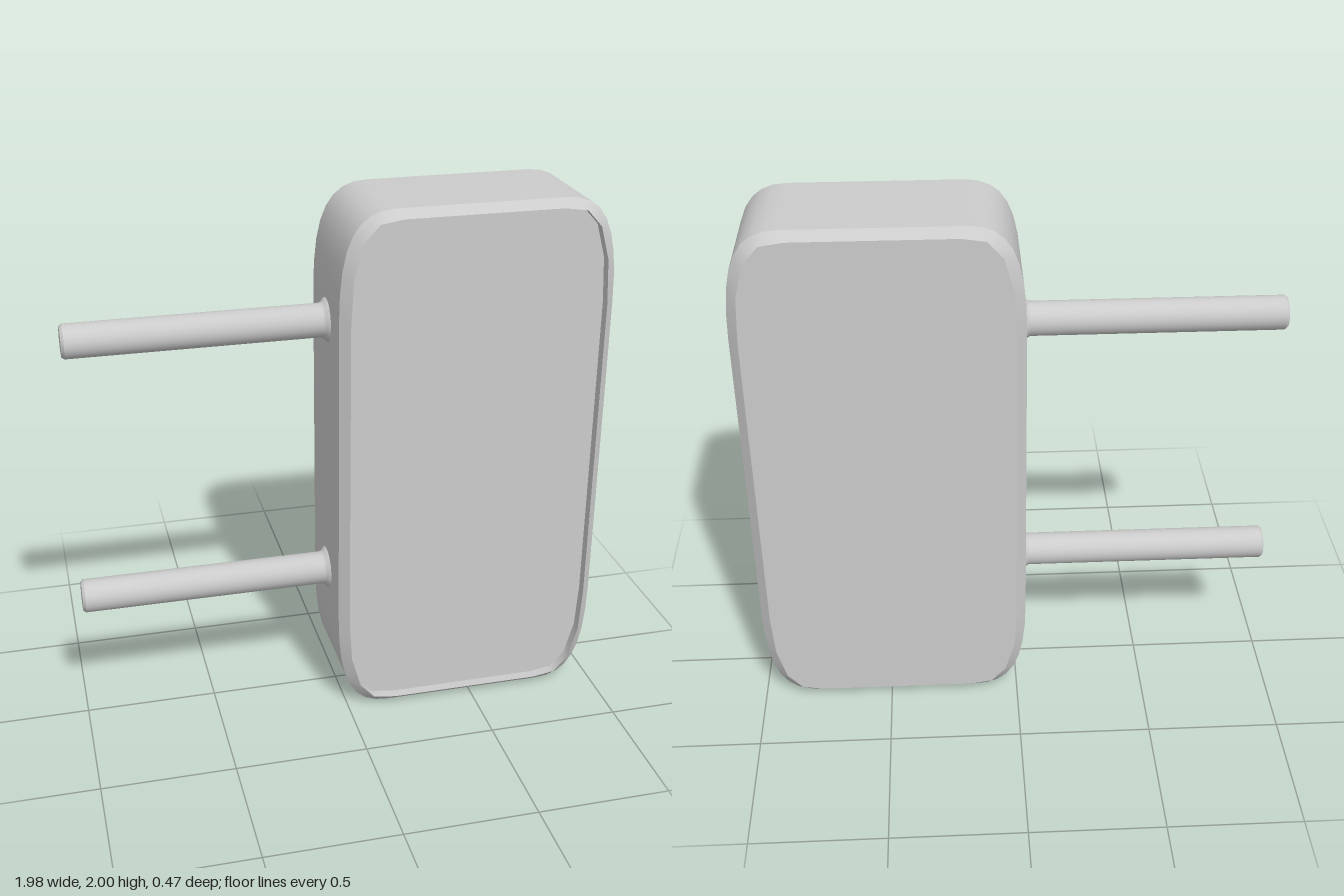
import * as THREE from 'three';
import { mergeGeometries, toCreasedNormals } from 'three/addons/utils/BufferGeometryUtils.js';

const material = new THREE.MeshStandardMaterial({ color: 0xcccccc });
const v = (x, y) => new THREE.Vector2(x, y);

// Closed counter-clockwise outline: one corner mirrored to all four corners
function outline(corner) {
  const back = [...corner].reverse();
  return [
    ...corner,
    ...back.map(p => v(-p.x, p.y)),
    ...corner.map(p => v(-p.x, -p.y)),
    ...back.map(p => v(p.x, -p.y)),
  ];
}

function indexed(positions, index) {
  const geo = new THREE.BufferGeometry();
  geo.setAttribute('position', new THREE.Float32BufferAttribute(positions, 3));
  geo.setIndex(index);
  geo.computeVertexNormals();
  return geo;
}

// Smooth strip between two rings; faces outward when the second is further forward
function band(ringA, zA, ringB, zB) {
  const n = ringA.length, pos = [], idx = [];
  ringA.forEach(p => pos.push(p.x, p.y, zA));
  ringB.forEach(p => pos.push(p.x, p.y, zB));
  for (let i = 0; i < n; i++) {
    const j = (i + 1) % n;
    idx.push(i, j, n + j, i, n + j, n + i);
  }
  return indexed(pos, idx);
}

// Flat end face
function cap(ring, z) {
  const n = ring.length, pos = [0, 0, z], idx = [];
  ring.forEach(p => pos.push(p.x, p.y, z));
  for (let i = 0; i < n; i++) {
    const a = 1 + i, b = 1 + (i + 1) % n;
    idx.push(0, ...(z > 0 ? [a, b] : [b, a]));
  }
  return indexed(pos, idx);
}

export function createModel() {
  const model = new THREE.Group();

  // Outer outline is a smooth curve, the inner rim a coarser polygon with matching point count
  const outer = outline(new THREE.CubicBezierCurve(
    v(0.512, 0.6), v(0.512, 0.9), v(0.45, 1), v(0.31, 1)).getPoints(8));
  const rim = [v(0.477, 0.6), v(0.467, 0.77), v(0.432, 0.895), v(0.376, 0.957), v(0.29, 0.97)];
  const inner = outline(rim.flatMap((p, i) => i ? [rim[i - 1].clone().lerp(p, 0.5), p] : [p]));

  // Slab body with bevelled rims, flat back and a shallow recessed front panel
  const body = new THREE.Mesh(mergeGeometries([
    cap(inner, -0.235),
    band(inner, -0.235, outer, -0.2),
    band(outer, -0.2, outer, 0.2),
    band(outer, 0.2, inner, 0.235),
    band(inner, 0.235, inner, 0.195),
    cap(inner, 0.195),
  ]), material);
  body.name = 'body';
  body.position.set(0.476, 1, 0);
  model.add(body);

  // Two round leads, flared at the body and chamfered at the tip
  const profile = [
    v(0.085, 0), v(0.081, 0.008), v(0.068, 0.018), v(0.063, 0.028),
    v(0.063, 0.948), v(0.055, 0.958), v(0, 0.958),
  ];
  const leadGeo = toCreasedNormals(new THREE.LatheGeometry(profile, 24), 0.6);
  leadGeo.rotateZ(Math.PI / 2);
  [['upperLead', 1.547], ['lowerLead', 0.52]].forEach(([name, y]) => {
    const lead = new THREE.Mesh(leadGeo, material);
    lead.name = name;
    lead.position.set(-0.03, y, 0);
    model.add(lead);
  });

  return model;
}
